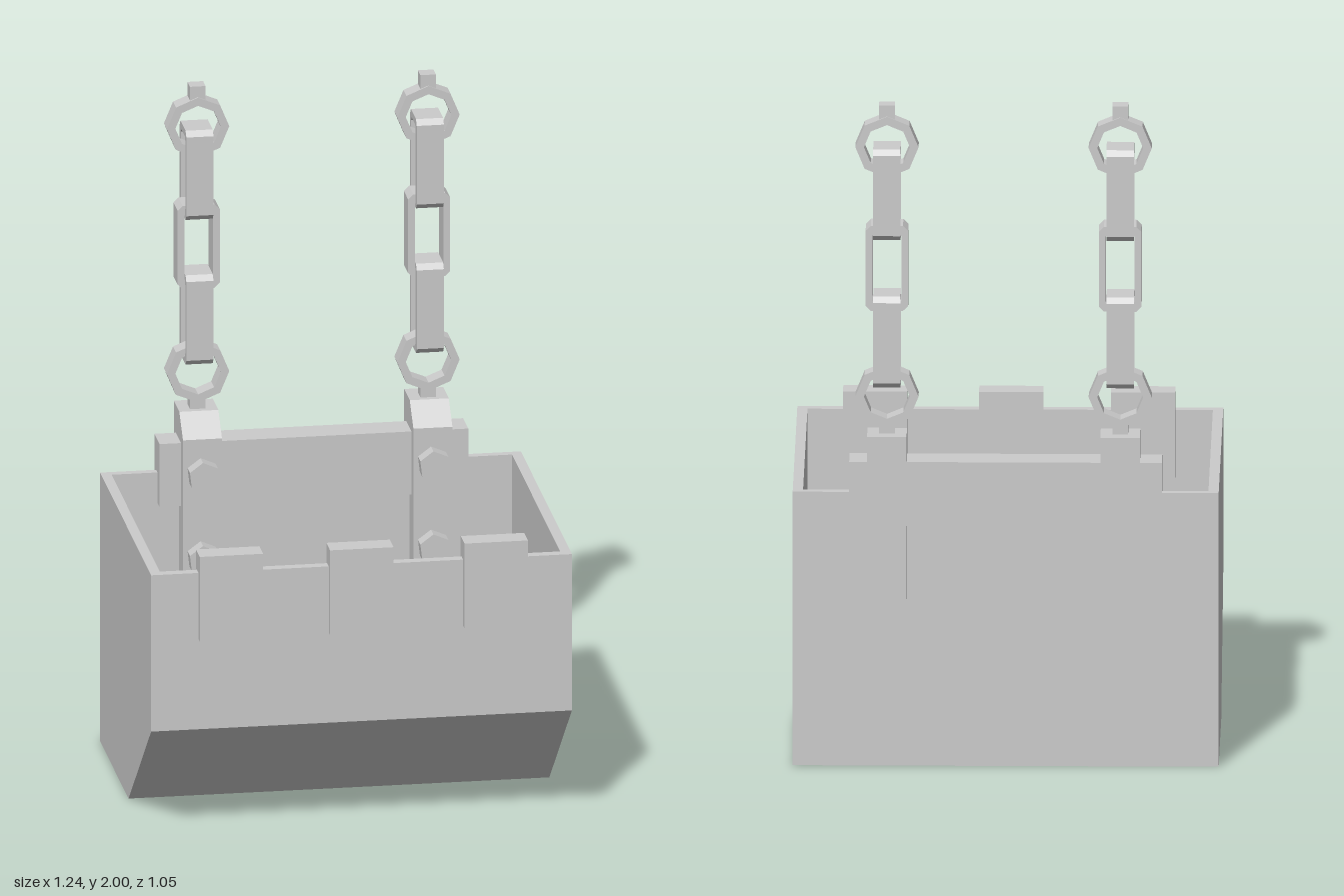
import * as THREE from 'three';

const material = new THREE.MeshStandardMaterial({ color: 0xcccccc, flatShading: true });

function add(parent, name, geometry, x = 0, y = 0, z = 0) {
  const mesh = new THREE.Mesh(geometry, material);
  mesh.name = name;
  mesh.position.set(x, y, z);
  parent.add(mesh);
  return mesh;
}

const toPoints = (list) => list.map(([a, b]) => new THREE.Vector2(a, b));

// Extrudes an outline, optionally with a hole, centred on its depth
function plate(outline, depth, hole) {
  const shape = new THREE.Shape(toPoints(outline));
  if (hole) shape.holes.push(new THREE.Path(toPoints(hole)));
  return new THREE.ExtrudeGeometry(shape, { depth, bevelEnabled: false }).translate(0, 0, -depth / 2);
}

// Same, for a side profile given as (z, y) and extruded along x
const sidePlate = (profile, width) => plate(profile, width).rotateY(-Math.PI / 2);

const octagon = (r) => Array.from({ length: 8 }, (_, i) => {
  const a = (i * Math.PI) / 4;
  return [r * Math.cos(a), r * Math.sin(a)];
});

// Rectangle with clipped corners
const clipped = (w, h, c) => [
  [w, h - c], [w - c, h], [c - w, h], [-w, h - c],
  [-w, c - h], [c - w, -h], [w - c, -h], [w, c - h],
];

function createBucket() {
  const bucket = new THREE.Group();
  bucket.name = 'bucket';
  const outer = [[-0.45, 0.825], [-0.45, 0], [0.08, 0], [0.5, 0.345], [0.5, 0.825]];
  const inner = [[0.47, 0.825], [0.47, 0.365], [0.055, 0.03], [-0.425, 0.03], [-0.425, 0.825]];
  add(bucket, 'bucketShell', sidePlate([...outer, ...inner], 1.18));
  for (const side of [-1, 1]) add(bucket, 'bucketSide', sidePlate(outer, 0.03), side * 0.605);
  for (const x of [-0.387, -0.003, 0.393]) {
    add(bucket, 'tooth', new THREE.BoxGeometry(0.187, 0.26, 0.07), x, 0.752, 0.489);
  }
  return bucket;
}

// Clamp over the back wall, with two bolts on its inner face
function createClamp() {
  const clamp = new THREE.Group();
  clamp.name = 'clamp';
  const profile = [[-0.522, 0.51], [-0.35, 0.51], [-0.35, 0.945], [-0.418, 1.01], [-0.522, 1.01]];
  add(clamp, 'clampBody', sidePlate(profile, 0.115));
  for (const y of [0.84, 0.585]) {
    const bolt = new THREE.CylinderGeometry(0.048, 0.048, 0.06, 6).rotateX(Math.PI / 2).rotateZ(0.12);
    add(clamp, 'bolt', bolt, 0, y, -0.335);
  }
  return clamp;
}

// Octagonal end rings joined by links turned alternately by a quarter
function createChain() {
  const chain = new THREE.Group();
  chain.name = 'chain';
  const ring = plate(octagon(0.092), 0.056, octagon(0.067));
  const link = plate(clipped(0.062, 0.128, 0.015), 0.08, clipped(0.042, 0.108, 0.01));
  add(chain, 'lowerRing', ring, 0, 1.123);
  add(chain, 'upperRing', ring, 0, 1.875);
  add(chain, 'lowerStub', new THREE.BoxGeometry(0.046, 0.06, 0.046), 0, 1.02);
  add(chain, 'upperStub', new THREE.BoxGeometry(0.046, 0.05, 0.046), 0, 1.975);
  [1.293, 1.513, 1.737].forEach((y, i) => {
    const mesh = add(chain, 'link', link, 0, y);
    if (i !== 1) {
      mesh.rotation.y = Math.PI / 2;
      mesh.scale.y = 1.07;
    }
  });
  chain.position.z = -0.46;
  return chain;
}

export function createModel() {
  const model = new THREE.Group();
  model.name = 'chainBucket';
  model.add(createBucket());

  // Bar along the back rim
  add(model, 'crossbar', new THREE.BoxGeometry(0.91, 0.193, 0.096), 0, 0.828, -0.435);

  // Two hangers
  for (const [name, x] of [['rightHanger', -0.334], ['leftHanger', 0.345]]) {
    const hanger = new THREE.Group();
    hanger.name = name;
    hanger.position.x = x;
    hanger.add(createClamp(), createChain());
    model.add(hanger);
  }
  return model;
}
